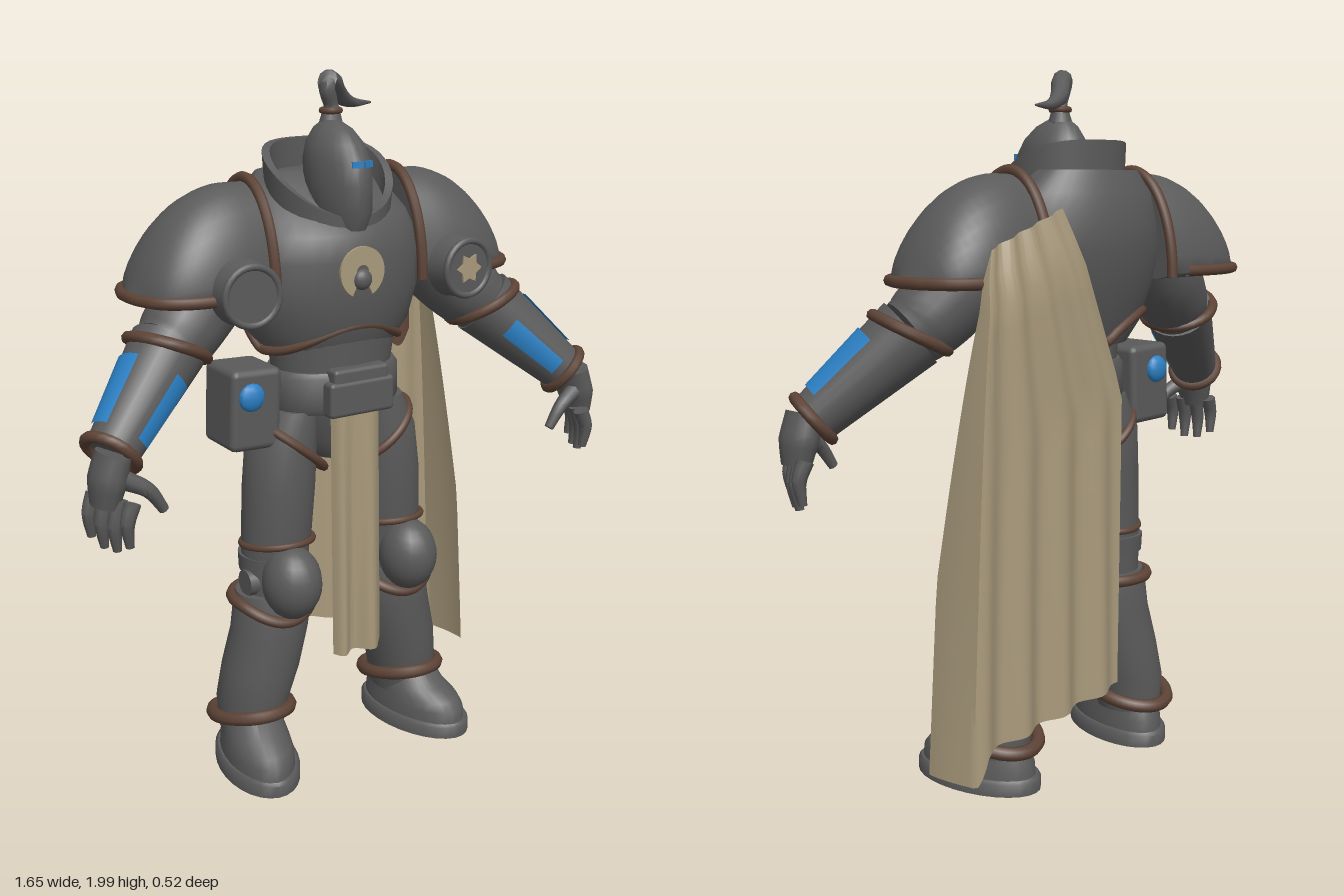
import * as THREE from 'three';
import { toCreasedNormals } from 'three/addons/utils/BufferGeometryUtils.js';
import { RoundedBoxGeometry } from 'three/addons/geometries/RoundedBoxGeometry.js';

const V = (x, y, z) => new THREE.Vector3(x, y, z);
const { sin, cos, PI, max, min, sqrt } = Math;

// Surface from a rule fn(u, v) -> [x, y, z]
function grid(nu, nv, fn, flip = false, crease = 0.8) {
  const pos = [], idx = [];
  for (let i = 0; i <= nv; i++) for (let j = 0; j <= nu; j++) pos.push(...fn(j / nu, i / nv));
  for (let i = 0; i < nv; i++) for (let j = 0; j < nu; j++) {
    const a = i * (nu + 1) + j, b = a + 1, c = a + nu + 1, d = c + 1;
    if (flip) idx.push(a, b, c, b, d, c); else idx.push(a, c, b, b, c, d);
  }
  const g = new THREE.BufferGeometry();
  g.setAttribute('position', new THREE.Float32BufferAttribute(pos, 3));
  g.setIndex(idx);
  return toCreasedNormals(g, crease);
}

// Capped stack of oval rings [cx, y, cz, rx, rz], bottom to top; pinch narrows the front
function loft(rings, pinch = 0, n = 28) {
  const first = rings[0], last = rings[rings.length - 1];
  const all = [[...first.slice(0, 3), 0, 0], ...rings, [...last.slice(0, 3), 0, 0]];
  return grid(n, all.length - 1, (u, v) => {
    const [cx, y, cz, rx, rz] = all[Math.round(v * (all.length - 1))], a = u * 2 * PI;
    return [cx + rx * cos(a) * (1 - pinch * max(0, sin(a))), y, cz + rz * sin(a)];
  });
}

// Round limb along points [x, y, z, radius]
function sweep(pts, n = 10, steps = 4) {
  const path = new THREE.CatmullRomCurve3(pts.map(p => V(p[0], p[1], p[2])));
  const N = (pts.length - 1) * steps, fr = path.computeFrenetFrames(N);
  return grid(n, N + 2, (u, v) => {
    const k = Math.round(v * (N + 2)), i = min(N, max(0, k - 1)), a = u * 2 * PI;
    const f = i / steps, q = min(pts.length - 2, Math.floor(f));
    const r = k === 0 || k === N + 2 ? 0 : pts[q][3] + (pts[q + 1][3] - pts[q][3]) * (f - q);
    return path.getPoint(i / N).addScaledVector(fr.normals[i], r * cos(a))
      .addScaledVector(fr.binormals[i], -r * sin(a)).toArray();
  });
}

// Rounded trim along a rule t -> Vector3
function trim(fn, r = 0.016, closed = true, n = 24) {
  const pts = Array.from({ length: n }, (_, i) => fn(i / (closed ? n : n - 1)));
  return new THREE.TubeGeometry(new THREE.CatmullRomCurve3(pts, closed), n * 2, r, 8, closed);
}

export function createModel() {
  const model = new THREE.Group();
  const mat = (name, color, side = THREE.FrontSide) =>
    Object.assign(new THREE.MeshStandardMaterial({ color, side }), { name });
  const steel = mat('grey armour', 0x5a5a5a), bronze = mat('brown trim', 0x5d4336, THREE.DoubleSide);
  const cloth = mat('tan cloth', 0xa99a7c, THREE.DoubleSide), blue = mat('blue glow', 0x2b80c4, THREE.DoubleSide);
  const add = (name, geo, m, parent = model) => {
    const mesh = new THREE.Mesh(geo, m);
    mesh.name = name;
    parent.add(mesh);
    return mesh;
  };
  const ellipse = (cx, cy, cz, rx, rz, dy) => t => {
    const a = t * 2 * PI;
    return V(cx + rx * cos(a), cy + dy(a), cz + rz * sin(a));
  };

  // Torso, with a low neckline at the front
  add('chest', loft([[0, 1.24, -.03, .2, .145], [0, 1.3, -.03, .25, .17], [0, 1.4, -.037, .283, .192],
    [0, 1.5, -.048, .29, .205], [0, 1.57, -.054, .275, .2], [0, 1.61, -.066, .26, .182],
    [0, 1.66, -.1, .23, .138], [0, 1.72, -.12, .17, .09]], 0, 36), steel);
  // Lower chest edge: arched at the front, rising to the arms at the back
  add('chestTrim', trim(t => {
    const a = t * 2 * PI, f = sin(a), rise = f > 0 ? 0 : -.16 * f * Math.abs(cos(a)), k = 1 + 2 * rise;
    return V(.215 * k * cos(a), 1.248 + rise + .07 * max(0, f) ** 3, -.03 + .16 * k * f);
  }, .014, true, 32), bronze);
  add('abdomen', loft([[0, 1.12, -.01, .175, .13], [0, 1.2, -.01, .185, .135], [0, 1.3, -.01, .2, .14]]), steel);
  add('pelvis', loft([[0, .92, -.01, .07, .08], [0, .98, -.01, .14, .11], [0, 1.1, -.01, .18, .13]]), steel);
  add('belt', loft([[0, 1.07, -.01, .195, .142], [0, 1.085, -.01, .205, .15], [0, 1.175, -.01, .205, .15],
    [0, 1.19, -.01, .195, .142]]), steel);
  add('buckle', new RoundedBoxGeometry(.21, .1, .05, 2, .012), steel).position.set(0, 1.12, .135);
  add('buckleTop', new RoundedBoxGeometry(.18, .05, .05, 2, .012), steel).position.set(0, 1.18, .13);

  // Chest emblem: horseshoe plate with a small boss
  const horseshoe = new THREE.Shape();
  horseshoe.absarc(0, 0, .07, -1.1, PI + 1.1, false);
  horseshoe.absarc(0, 0, .02, PI + 1.1, -1.1, true);
  add('emblemPlate', new THREE.ExtrudeGeometry(horseshoe, { depth: .009, bevelEnabled: false, curveSegments: 20 }), cloth)
    .position.set(-.007, 1.472, .154);
  const boss = add('emblemBoss', new THREE.SphereGeometry(.029, 16, 12), steel);
  boss.position.set(-.007, 1.452, .16);
  boss.scale.z = .7;

  // High collar, low at the front
  add('collar', grid(40, 3, (u, v) => {
    const a = u * 2 * PI, k = Math.round(v * 3), f = (1 + sin(a)) / 2, rim = k === 1 || k === 2;
    const inset = k > 1 ? .022 : 0, flare = rim ? .02 : 0;
    return [(.168 + flare - inset) * cos(a), rim ? 1.8 - .185 * f ** 1.7 : 1.54, -.025 + (.158 - inset) * sin(a)];
  }), steel);
  add('neck', loft([[0, 1.56, -.01, .14, .13], [0, 1.63, -.02, .12, .1], [0, 1.69, -.02, .08, .08]]), steel);

  // Helmet, eyes and plume
  add('helmet', loft([[-.005, 1.58, .06, .058, .085], [-.005, 1.63, .05, .077, .112], [-.005, 1.7, .037, .081, .125],
    [-.005, 1.76, .03, .081, .123], [-.005, 1.805, .02, .07, .103], [-.005, 1.84, .01, .048, .07],
    [-.005, 1.862, 0, .02, .03]], .12), steel);
  for (const s of [-1, 1]) {
    const eye = add('eye', new THREE.BoxGeometry(.03, .017, .009), blue);
    eye.position.set(s * .017, 1.757, .148);
    eye.rotation.y = s * .28;
  }
  add('plume', sweep([[0, 1.85, -.01, .034], [0, 1.9, -.01, .02], [-.016, 1.945, -.005, .024], [-.01, 1.967, -.01, .027],
    [.03, 1.952, -.045, .028], [.08, 1.915, -.09, .025], [.15, 1.89, -.13, .014], [.225, 1.885, -.155, .003]]), steel);
  add('plumeTie', trim(ellipse(0, 1.885, -.01, .024, .024, () => 0), .009), bronze);

  // Hanging front cloth
  add('frontCloth', grid(28, 10, (u, v) => [-.08 + .165 * u + v * (.005 + .015 * u), 1.08 - v * .74,
    .142 + (.006 + .012 * v) * sin(u * 11 + .6) - .03 * (2 * u - 1) ** 6]), cloth);

  // Cape over the left shoulder: its left border turns forward; ragged lining inside
  const cape = (u, v, gap = 0) => {
    const w = min(1, u / .85), turn = max(0, (u - .85) / .15);
    const right = .19 - .2 * min(1, v / .38), left = .44 + .1 * sqrt(v);
    const drop = min(1, max(0, (u - .78) / .05));
    const topY = 1.62 - .1 * w, botY = .28 - .08 * w - .07 * drop;
    return [right + (left - right) * w + .028 * v * sin(turn * PI / 2), topY + (botY - topY) * v,
      -.22 - .03 * min(1, v * 10) + (.006 + .01 * v) * sin(w * 24 + v) + .15 * min(1, 1.6 * v) ** .8 * turn + gap];
  };
  add('cape', grid(60, 18, cape), cloth);
  add('capeLining', grid(32, 8, (u, v) => cape(.25 + .48 * u, .03 + v * (.25 + .06 * sin(u * PI) + .012 * sin(u * 23)), .008)), bronze);

  // Belt pouch with lamps
  const pouch = new THREE.Group();
  pouch.name = 'pouch';
  pouch.position.set(-.282, 1.102, -.02);
  pouch.rotation.z = -.04;
  model.add(pouch);
  add('pouchBox', new RoundedBoxGeometry(.155, .23, .17, 2, .02), steel, pouch);
  for (const z of [-.086, .086]) {
    const lamp = add('pouchLamp', new THREE.SphereGeometry(.04, 10, 8), blue, pouch);
    lamp.position.set(-.02, .04, z);
    lamp.scale.z = .5;
  }

  for (const s of [-1, 1]) {
    // Pauldron with trims
    const off = -.013, cz = -.047;
    const profile = new THREE.CatmullRomCurve3([V(.24, .28, .155), V(.33, .278, .17), V(.42, .245, .172),
      V(.495, .182, .155), V(.55, .1, .115), V(.585, .015, .03)]);
    add('pauldron', grid(36, 17, (u, v) => {
      const p = profile.getPoint(max(0, (v * 17 - 1) / 16)), a = u * 2 * PI, k = v === 0 ? 0 : 1;
      return [s * p.x + off, 1.43 + k * p.y * sin(a) * (sin(a) < 0 ? .08 : 1), cz + k * p.z * cos(a)];
    }, s < 0), steel);
    add('pauldronInnerTrim', trim(t => V(s * .236 + off, 1.42 + .3 * sin(t * PI), cz + .165 * cos(t * PI)), .015, false), bronze);
    add('pauldronLowerTrim', trim(t => {
      const p = profile.getPoint(.12 + .88 * (1 - Math.abs(2 * t - 1)));
      return V(s * (p.x + .004) + off, 1.435, cz + (t < .5 ? 1 : -1) * p.z);
    }, .016, false, 30), bronze);

    // Round shoulder disc
    const disc = new THREE.Group();
    disc.name = 'shoulderDisc';
    disc.position.set(s * .343 - .012, 1.45, .15);
    disc.rotation.y = s * .06;
    model.add(disc);
    add('discBody', new THREE.CylinderGeometry(.08, .09, .07, 28), steel, disc).rotation.x = PI / 2;
    add('discRim', new THREE.TorusGeometry(.077, .01, 8, 28), steel, disc).position.z = .032;
    if (s > 0) {
      const star = new THREE.Shape(Array.from({ length: 12 }, (_, i) => {
        const r = i % 2 ? .028 : .044, a = i * PI / 6;
        return new THREE.Vector2(r * cos(a), r * sin(a));
      }));
      add('discStar', new THREE.ExtrudeGeometry(star, { depth: .006, bevelEnabled: false }), cloth, disc).position.z = .034;
    }

    // Arm: upper arm, forearm guard, trims and blue panels
    const elbow = V(s * .52, 1.3, .01), wrist = V(s * .745, 1.085, .132);
    const axis = elbow.clone().sub(wrist), len = axis.length();
    axis.normalize();
    add('upperArm', sweep([[s * .33, 1.5, -.04, .12], [s * .41, 1.4, -.03, .118], [s * .48, 1.33, -.005, .108],
      [elbow.x, elbow.y, elbow.z, .095]], 20), steel);
    const forearm = new THREE.Group();
    forearm.name = 'forearm';
    forearm.position.copy(elbow).add(wrist).multiplyScalar(.5);
    forearm.quaternion.setFromUnitVectors(V(0, 1, 0), axis);
    model.add(forearm);
    add('forearmGuard', new THREE.CylinderGeometry(.104, .07, len, 24), steel, forearm);
    add('wristTrim', new THREE.TorusGeometry(.072, .016, 8, 24).rotateX(PI / 2), bronze, forearm).position.y = -len / 2;
    for (const [c, w] of [[-.5, .65], [1.45, .9]])
      add('bluePanel', new THREE.CylinderGeometry(.1, .0795, .2, 8, 1, true, s * c - w / 2, w), blue, forearm).position.y = -.025;
    const cuff = add('elbowTrim', new THREE.TorusGeometry(.108, .016, 8, 28), bronze);
    cuff.position.copy(elbow);
    cuff.quaternion.setFromUnitVectors(V(0, 0, 1), V(-s * .4, .88, -.2).normalize());

    // Hand
    const palm = add('palm', sweep([[0, .05, 0, .045], [s * .02, -.02, 0, .048], [s * .03, -.085, 0, .036]], 12), steel);
    palm.position.set(s * .752, 1.045, .162);
    palm.scale.z = 1.35;
    for (let i = 0; i < 4; i++) {
      const x = s * (.8 - .017 * i), z = .11 + .041 * i, d = i === 0 || i === 3 ? .02 : 0;
      add('finger', sweep([[x - s * .012, .98, z, .023], [x + s * .006, .91 + d, z + .004, .02],
        [x, .845 + d, z, .012]], 8), steel);
    }
    add('thumb', sweep([[s * .74, 1.03, .19, .026], [s * .68, .995, .205, .02], [s * .638, .935, .205, .014]], 8), steel);

    // Leg
    add('thigh', loft([[s * .2, .52, -.01, .09, .09], [s * .195, .62, -.01, .096, .095], [s * .188, .72, -.005, .102, .102],
      [s * .18, .85, -.005, .104, .108], [s * .168, .98, -.01, .1, .112], [s * .14, 1.08, -.01, .08, .1]]), steel);
    add('hipTrim', trim(ellipse(s * .145, .965, -.01, .098, .116, a => s * .08 * cos(a)), .013), bronze);
    add('shin', loft([[s * .27, .1, -.03, .09, .105], [s * .265, .2, -.025, .105, .115], [s * .243, .3, -.015, .115, .115],
      [s * .215, .42, -.008, .115, .11], [s * .205, .5, -.005, .117, .108], [s * .203, .54, -.005, .11, .1]]), steel);
    add('shinTrim', trim(ellipse(s * .206, .52, -.006, .118, .11, a => -.05 * max(0, sin(a)) ** 2), .017), bronze);
    add('ankleTrim', trim(ellipse(s * .268, .155, -.03, .11, .128, a => .03 * sin(a)), .02), bronze);
    add('kneeStrap', loft([[s * .195, .6, -.015, .1, .098], [s * .193, .65, -.015, .104, .102]]), steel);
    add('kneeTrim', trim(ellipse(s * .19, .685, 0, .102, .104, a => .015 * sin(a)), .01), bronze);
    const knee = add('kneeCap', new THREE.SphereGeometry(1, 18, 14), steel);
    knee.position.set(s * .2, .59, .1);
    knee.scale.set(.085, .108, .092);
    const pivot = add('kneePivot', new THREE.CylinderGeometry(.038, .042, .04, 18), steel);
    pivot.position.set(s * .28, .575, .005);
    pivot.rotation.z = -s * PI / 2;

    // Boot
    const boot = new THREE.Group();
    boot.name = 'boot';
    boot.position.set(s * .284, 0, .03);
    boot.rotation.y = s * .2;
    model.add(boot);
    add('sole', loft([[0, 0, 0, .114, .204], [0, .035, 0, .114, .204], [0, .044, 0, .106, .196]]), steel, boot);
    add('bootUpper', loft([[0, .035, 0, .1, .19], [0, .075, 0, .098, .186], [0, .1, -.005, .092, .17],
      [0, .125, -.03, .088, .135], [0, .18, -.055, .08, .1]]), steel, boot);
  }
  return model;
}
